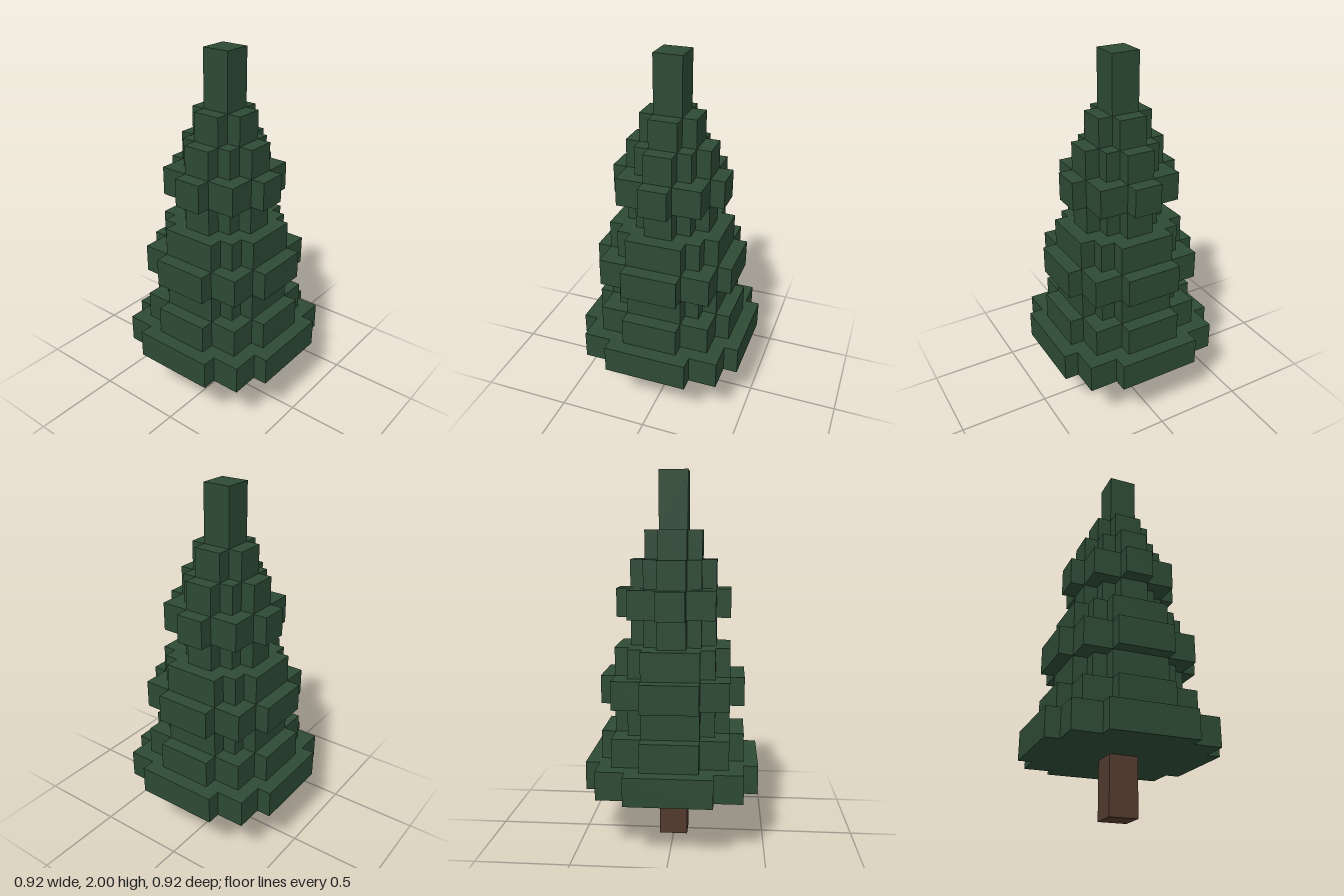
import * as THREE from 'three';

const U = 1 / 13; // half of one block

export function createModel() {
  const tree = new THREE.Group();
  tree.name = 'blockyPineTree';
  const needleGreen = new THREE.MeshStandardMaterial({ color: 0x2d4a34 });
  needleGreen.name = 'needleGreen';
  const barkBrown = new THREE.MeshStandardMaterial({ color: 0x523a2d });
  barkBrown.name = 'barkBrown';

  function add(name, geometry, material, y) {
    const mesh = new THREE.Mesh(geometry, material);
    mesh.name = name;
    mesh.position.y = y * U;
    tree.add(mesh);
  }

  // Stepped round slab: a square of half-width `square` with arms
  // reaching `reach` from the centre, each `arm` half-wide
  function slab(reach, square, arm) {
    const quarter = [[reach, -arm], [reach, arm], [square, arm], [square, square], [arm, square]];
    // drop the zero-length corner when the square is no wider than the arms
    const corner = square > arm ? quarter : quarter.slice(0, 3);
    const points = [];
    for (let i = 0; i < 4; i++) {
      for (const [x, y] of corner) {
        const [px, py] = [[x, y], [-y, x], [-x, -y], [y, -x]][i];
        points.push(new THREE.Vector2(px * U, py * U));
      }
    }
    return new THREE.ExtrudeGeometry(new THREE.Shape(points), { depth: 2 * U, bevelEnabled: false })
      .rotateX(-Math.PI / 2);
  }

  // Trunk
  add('trunk', new THREE.BoxGeometry(2 * U, 4 * U, 2 * U), barkBrown, 2);

  // Foliage layers from bottom to top: reach, square, arm
  const layers = [
    [6, 5, 3], [5, 4, 2], [4, 3, 2],
    [5, 4, 2], [4, 3, 2], [3, 2, 1],
    [4, 3, 1], [3, 2, 1], [2, 1, 1],
  ];
  layers.forEach((layer, i) => add(`foliageLayer${i + 1}`, slab(...layer), needleGreen, 4 + 2 * i));

  // Tip
  add('treeTip', new THREE.BoxGeometry(2 * U, 4 * U, 2 * U), needleGreen, 24);

  return tree;
}
